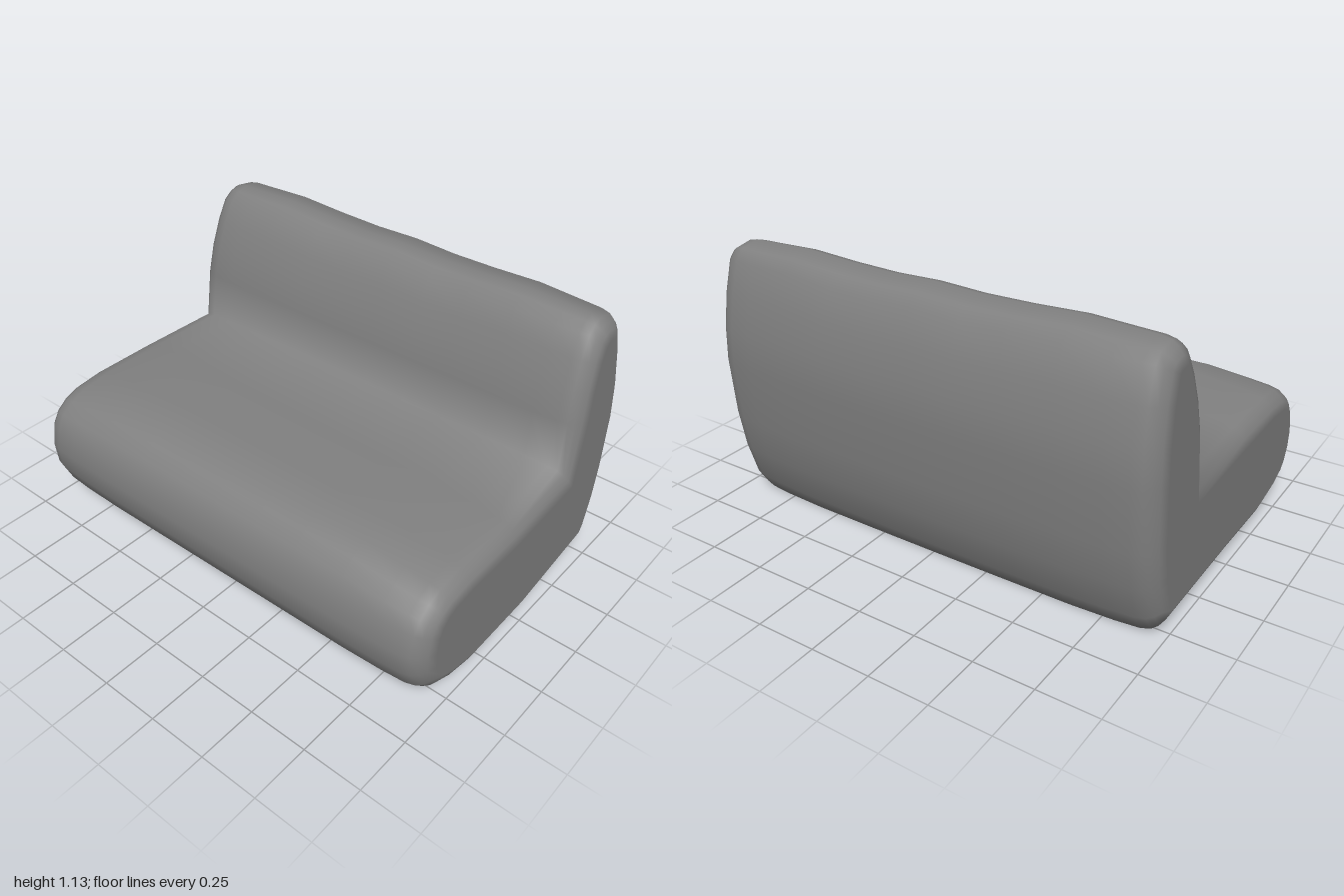
import * as THREE from 'three';

// Side profile of the padded bench as [z, y], going forward along the bottom
const PROFILE = [
  [-0.55, 0.005], [0, 0.01], [0.34, 0.005], [0.5, 0.035], [0.6, 0.075], [0.66, 0.13],
  [0.7, 0.22], [0.71, 0.32], [0.69, 0.42], [0.655, 0.485], [0.6, 0.535], [0.53, 0.567],
  [0.39, 0.585], [0.1, 0.573], [-0.25, 0.56], [-0.275, 0.75],
  [-0.305, 0.88], [-0.35, 1.0], [-0.4, 1.09], [-0.45, 1.125], [-0.5, 1.14], [-0.595, 1.125],
  [-0.64, 1.08], [-0.68, 0.95], [-0.705, 0.8], [-0.71, 0.65], [-0.69, 0.4], [-0.66, 0.24], [-0.61, 0.09],
].map(([z, y]) => new THREE.Vector2(z, y));

// Rounding of each end: [x, inset of the profile]
const END = [[0.2, 0], [0.4, 0], [0.62, 0], [0.8, 0.004], [0.9, 0.01], [0.94, 0.02], [0.965, 0.038], [0.985, 0.065], [1, 0.1]];
const CAP_INSET = END[END.length - 1][1];

// Mitred inward offset of the closed profile
function insetProfile(d) {
  const n = PROFILE.length;
  return PROFILE.map((p, i) => {
    const a = p.clone().sub(PROFILE[(i + n - 1) % n]).normalize();
    const b = PROFILE[(i + 1) % n].clone().sub(p).normalize();
    const m = new THREE.Vector2(-a.y - b.y, a.x + b.x).normalize();
    const scale = d / Math.max(0.6, m.dot(new THREE.Vector2(-a.y, a.x)));
    return p.clone().addScaledVector(m, scale);
  });
}

function createBody() {
  const stations = [...END.map(([x, d]) => [-x, d]).reverse(), [0, 0], ...END];
  const n = PROFILE.length;
  const positions = [], index = [];
  const smooth = THREE.MathUtils.smoothstep;

  // Cross-sections from one end to the other, with soft cushion unevenness
  for (const [x, d] of stations) {
    for (const p of insetProfile(d)) {
      const high = smooth(p.y, 0.6, 1.1);
      const rear = x > 0 ? 0.03 * smooth(-p.x, 0, 0.5) : 0;
      const seatTop = smooth(p.y, 0.4, 0.57) * smooth(p.x, -0.1, 0.4);
      const backFront = smooth(p.x, -0.5, -0.3) * smooth(-p.x, 0.12, 0.24) * smooth(p.y, 0.45, 0.56);
      const px = x * (1 - rear - 0.012 * high);
      const py = p.y + high * (0.022 * x * x - 0.018 + 0.005 * Math.cos(x * 11))
        - 0.02 * seatTop * smooth(Math.abs(x), 0.6, 0.92);
      const pz = p.x - 0.012 * smooth(p.x, 0.3, 0.7) * (x + 1)
        + 0.02 * x * x * smooth(-p.x, 0.45, 0.7) - 0.014 * (x + 1) * backFront;
      positions.push(px, py, pz);
    }
  }
  for (let i = 0; i < stations.length - 1; i++) {
    for (let j = 0; j < n; j++) {
      const a = i * n + j, b = i * n + (j + 1) % n;
      index.push(a, a + n, b, b, a + n, b + n);
    }
  }

  // End faces
  const last = (stations.length - 1) * n;
  for (const [a, b, c] of THREE.ShapeUtils.triangulateShape(insetProfile(CAP_INSET), [])) {
    index.push(a, b, c, last + a, last + c, last + b);
  }

  const geometry = new THREE.BufferGeometry();
  geometry.setAttribute('position', new THREE.Float32BufferAttribute(positions, 3));
  geometry.setIndex(index);
  geometry.computeVertexNormals();

  // Even shading across the end faces
  for (let j = 0; j < n; j++) {
    geometry.attributes.normal.setXYZ(j, -1, 0, 0);
    geometry.attributes.normal.setXYZ(last + j, 1, 0, 0);
  }
  return geometry;
}

export function createModel() {
  const group = new THREE.Group();
  group.name = 'sofa';
  const body = new THREE.Mesh(createBody(), new THREE.MeshStandardMaterial({ color: 0x808080 }));
  body.name = 'seatAndBackrest';
  group.add(body);
  return group;
}
